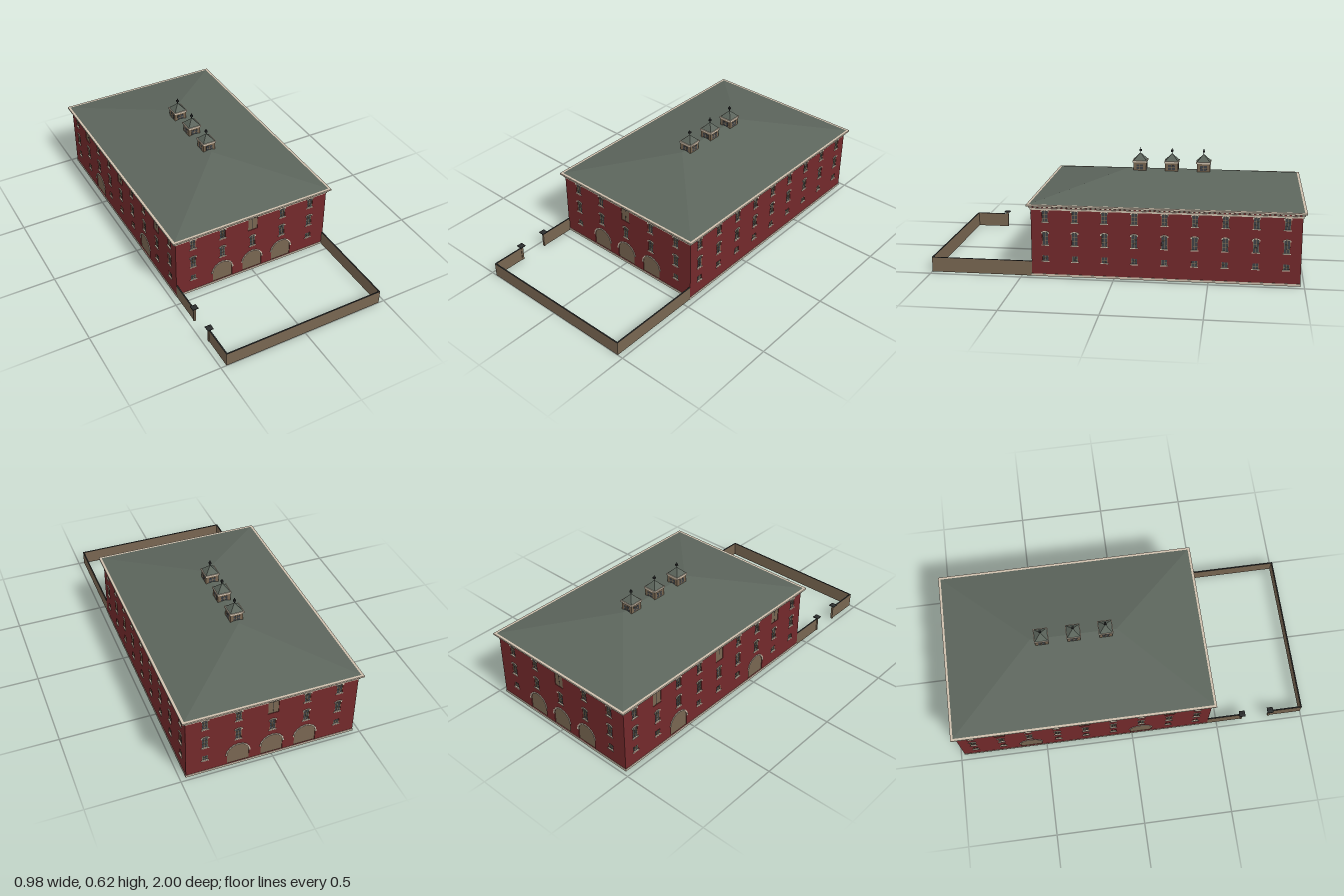
import * as THREE from 'three';
import { mergeGeometries } from 'three/addons/utils/BufferGeometryUtils.js';

const mat = (name, color, extra = {}) => {
  const m = new THREE.MeshStandardMaterial({ color, ...extra });
  m.name = name;
  return m;
};

export function createModel() {
  const brick = mat('brick red', 0x73292b);
  const slate = mat('roof slate', 0x5c655c, { side: THREE.DoubleSide });
  const tan = mat('tan wood', 0x786651);
  const trim = mat('pale stone trim', 0xcdbfac);
  const glass = mat('window glass', 0x3e4247);
  const bars = mat('glazing bars', 0x8a775a);
  const iron = mat('dark iron', 0x2b2d2d);

  const T = 0.008, CZ = -0.267, HX = 0.467, HZ = 0.712;
  const model = new THREE.Group();
  model.name = 'brickWarehouse';

  const add = (parent, name, geo, material, x = 0, y = 0, z = 0) => {
    const m = new THREE.Mesh(geo, material);
    m.name = name;
    m.position.set(x, y, z);
    parent.add(m);
    return m;
  };
  const box = (parent, name, material, w, h, d, x, y, z) =>
    add(parent, name, new THREE.BoxGeometry(w, h, d), material, x, y, z);
  const group = (parent, name, x = 0, y = 0, z = 0) => {
    const g = new THREE.Group();
    g.name = name;
    g.position.set(x, y, z);
    parent.add(g);
    return g;
  };
  const extrude = (shape, depth) =>
    new THREE.ExtrudeGeometry(shape, { depth, bevelEnabled: false, curveSegments: 8 });

  // Outline of a window with a slightly bowed head
  const opening = (P, x, w, y0, y1, rise) => {
    const s = new P();
    s.moveTo(x - w, y0);
    s.lineTo(x + w, y0);
    s.lineTo(x + w, y1);
    if (rise) s.quadraticCurveTo(x, y1 + 2 * rise, x - w, y1);
    else s.lineTo(x - w, y1);
    s.closePath();
    return s;
  };
  // Outline of a round-headed gateway
  const R = 0.06, SPRING = 0.075;
  const archway = (P, x) => {
    const s = new P();
    s.moveTo(x - R, 0.014);
    s.lineTo(x + R, 0.014);
    s.lineTo(x + R, SPRING);
    s.absarc(x, SPRING, R, 0, Math.PI, false);
    s.closePath();
    return s;
  };

  // Window types by floor: half width, bottom, top, head rise, pane rows
  const kinds = [
    { w: 0.016, y0: 0.086, y1: 0.117, rise: 0, rows: 2 },
    { w: 0.016, y0: 0.176, y1: 0.243, rise: 0.004, rows: 3 },
    { w: 0.016, y0: 0.303, y1: 0.361, rise: 0.003, rows: 3 },
  ].map(k => {
    const hood = new THREE.Shape();
    const o = k.w + 0.005, i = k.w - 0.001, drop = k.y1 - 0.005;
    hood.moveTo(i, drop);
    hood.lineTo(o, drop);
    hood.lineTo(o, k.y1 + 0.003);
    hood.quadraticCurveTo(0, k.y1 + 2 * k.rise + 0.009, -o, k.y1 + 0.003);
    hood.lineTo(-o, drop);
    hood.lineTo(-i, drop);
    hood.lineTo(-i, k.y1 - 0.001);
    hood.quadraticCurveTo(0, k.y1 + 2 * k.rise - 0.001, i, k.y1 - 0.001);
    hood.closePath();
    const strips = [[0.0025, k.y1 + k.rise - k.y0, 0, (k.y0 + k.y1 + k.rise) / 2]];
    for (const s of [-1, 1]) strips.push([0.002, k.y1 - k.y0, s * (k.w - 0.001), (k.y0 + k.y1) / 2]);
    for (let r = 1; r < k.rows; r++)
      strips.push([2 * k.w, 0.0015, 0, k.y0 + (k.y1 - k.y0) * r / k.rows]);
    return {
      ...k,
      pane: extrude(opening(THREE.Shape, 0, k.w + 0.003, k.y0 - 0.002, k.y1 + 0.002, k.rise), 0.006),
      hood: extrude(hood, 0.003),
      bars: mergeGeometries(strips.map(([w, h, x, y]) =>
        new THREE.BoxGeometry(w, h, 0.002).translate(x, y, -0.003))),
    };
  });

  const addWindow = (parent, k, x) => {
    const g = group(parent, 'window', x);
    add(g, 'pane', k.pane, glass, 0, 0, -0.01);
    add(g, 'glazingBars', k.bars, bars);
    box(g, 'sill', trim, 2 * k.w + 0.01, 0.005, 0.007, 0, k.y0 - 0.002, 0);
    if (k.rise) add(g, 'hood', k.hood, trim);
  };
  // Ring of arch stones, alternately long and short
  const stones = [];
  for (let i = 0, n = 17; i < n; i++) {
    const s = new THREE.Shape(), a = Math.PI * i / n, b = Math.PI * (i + 1) / n;
    s.absarc(0, SPRING, R + (i % 2 ? 0.0055 : 0.0075), a, b, false);
    s.absarc(0, SPRING, R - 0.001, b, a, true);
    stones.push(new THREE.ExtrudeGeometry(s, { depth: 0.003, bevelEnabled: false, curveSegments: 2 }));
  }
  const archTrimGeo = mergeGeometries(stones);
  const gateGeo = extrude(archway(THREE.Shape, 0), 0.006);

  const addArch = (parent, x) => {
    const g = group(parent, 'archedGate', x);
    add(g, 'gateLeaf', gateGeo, tan, 0, 0, -0.01);
    add(g, 'archTrim', archTrimGeo, trim);
  };
  const addLoftDoor = (parent, x) => {
    const g = group(parent, 'loftDoor', x);
    box(g, 'doorLeaf', tan, 0.058, 0.08, 0.006, 0, 0.329, -0.006);
    box(g, 'doorJoint', iron, 0.002, 0.08, 0.001, 0, 0.329, -0.0028);
  };

  // One facade: outer face on local z = 0, columns along local x
  const facade = (name, half, cols, ground, lofts) => {
    const g = group(model, name);
    const s = opening(THREE.Shape, 0, half, 0.008, 0.388, 0);
    cols.forEach((x, i) => {
      if (ground[i] === 'A') {
        s.holes.push(archway(THREE.Path, x));
        addArch(g, x);
      }
      kinds.forEach((k, floor) => {
        if (floor === 0 && ground[i] !== 'W') return;
        if (floor === 2 && lofts.includes(i)) return;
        s.holes.push(opening(THREE.Path, x, k.w, k.y0, k.y1, k.rise));
        addWindow(g, k, x);
      });
      if (lofts.includes(i)) {
        s.holes.push(opening(THREE.Path, x, 0.029, 0.289, 0.369, 0));
        addLoftDoor(g, x);
      }
    });
    add(g, 'brickWall', extrude(s, T), brick, 0, 0, -T);
    return g;
  };

  const endCols = [-0.364, -0.186, 0, 0.186, 0.364];
  const sideCols = Array.from({ length: 9 }, (_, i) => (i - 4) * 0.159);
  facade('frontFacade', HX, endCols, 'WAAAW', [2]).position.z = CZ + HZ;
  const back = facade('backFacade', HX, endCols, 'WAAAW', [2]);
  back.position.z = CZ - HZ;
  back.rotation.y = Math.PI;
  const left = facade('leftFacade', HZ - T, sideCols, 'WWWWWWWWW', []);
  left.position.set(HX, 0, CZ);
  left.rotation.y = Math.PI / 2;
  const right = facade('rightFacade', HZ - T, sideCols, 'WWAWWWAWW', [1, 4, 7]);
  right.position.set(-HX, 0, CZ);
  right.rotation.y = -Math.PI / 2;

  // Rectangular bands around the building
  const ring = (name, out, inn, y, h) => {
    const rect = (P, d) => opening(P, 0, HX + d, -HZ - d, HZ + d, 0);
    const s = rect(THREE.Shape, out);
    s.holes.push(rect(THREE.Path, inn));
    add(model, name, extrude(s, h).rotateX(-Math.PI / 2), trim, 0, y, CZ);
  };
  ring('plinth', 0.002, -0.013, 0, 0.013);
  ring('frieze', 0.004, -0.002, 0.368, 0.009);
  ring('soffitBand', 0.012, -0.004, 0.387, 0.004);
  ring('eavesFascia', 0.021, -0.01, 0.39, 0.009);

  // Cornice blocks
  const blocks = [];
  const row = (half, place) => {
    const n = Math.round(2 * half / 0.026);
    for (let i = 0; i <= n; i++) blocks.push(place(-half + 2 * half * i / n));
  };
  for (const s of [-1, 1]) {
    row(HX, t => new THREE.BoxGeometry(0.018, 0.008, 0.014).translate(t, 0.384, CZ + s * (HZ + 0.005)));
    row(HZ, t => new THREE.BoxGeometry(0.014, 0.008, 0.018).translate(s * (HX + 0.005), 0.384, CZ + t));
  }
  add(model, 'corniceBlocks', mergeGeometries(blocks), trim);

  // Hipped roof and flat ceiling
  const ex = HX + 0.012, ez = HZ + 0.012, rz = 0.242;
  const A = [-ex, 0.398, ez], B = [ex, 0.398, ez], C = [ex, 0.398, -ez], D = [-ex, 0.398, -ez];
  const F = [0, 0.508, rz], G = [0, 0.508, -rz];
  const roof = new THREE.BufferGeometry();
  roof.setAttribute('position', new THREE.Float32BufferAttribute(
    [A, B, F, B, C, G, B, G, F, C, D, G, D, A, F, D, F, G].flat(), 3));
  roof.computeVertexNormals();
  add(model, 'hippedRoof', roof, slate, 0, 0, CZ);
  box(model, 'ceiling', slate, 2 * (HX - T), 0.006, 2 * (HZ - T), 0, 0.381, CZ);

  // Flat-sided square pyramid
  const pyramid = (r, h) => {
    const g = new THREE.ConeGeometry(r * Math.SQRT2, h, 4, 1).rotateY(Math.PI / 4).toNonIndexed();
    g.computeVertexNormals();
    return g;
  };

  // Three ridge cupolas
  for (const dz of [-0.178, 0, 0.178]) {
    const c = group(model, 'cupola', 0, 0, CZ + dz);
    box(c, 'cupolaBody', tan, 0.072, 0.05, 0.072, 0, 0.521, 0);
    box(c, 'cupolaCornice', trim, 0.081, 0.01, 0.081, 0, 0.55, 0);
    add(c, 'cupolaRoof', pyramid(0.0365, 0.04), slate, 0, 0.575, 0);
    box(c, 'finialRod', iron, 0.003, 0.035, 0.003, 0, 0.607, 0);
    box(c, 'finialBlock', iron, 0.012, 0.01, 0.012, 0, 0.609, 0);
    for (let i = 0; i < 4; i++) {
      const side = group(c, 'cupolaWindow');
      side.rotation.y = i * Math.PI / 2;
      box(side, 'cupolaPane', glass, 0.038, 0.028, 0.002, 0, 0.52, 0.036);
      box(side, 'cupolaBarUpright', bars, 0.003, 0.028, 0.002, 0, 0.52, 0.0365);
      box(side, 'cupolaBarLevel', bars, 0.038, 0.0025, 0.002, 0, 0.52, 0.0365);
    }
  }

  // Yard wall with a gateway on one side
  const yard = group(model, 'yardWall');
  const X = 0.464, Z0 = CZ + HZ, Z1 = 0.996;
  const run = (w, d, x, z) => {
    box(yard, 'yardWallRun', tan, w, 0.08, d, x, 0.04, z);
    box(yard, 'yardWallCap', iron, w + 0.001, 0.002, d + 0.001, x, 0.081, z);
  };
  run(2 * X + 0.006, 0.006, 0, Z1);
  run(0.006, Z1 - Z0, X, (Z0 + Z1) / 2);
  run(0.006, 0.645 - Z0, -X, (Z0 + 0.645) / 2);
  run(0.006, Z1 - 0.81, -X, (Z1 + 0.81) / 2);
  for (const z of [0.645, 0.81]) {
    const p = group(yard, 'gatePost', -X, 0, z);
    box(p, 'postShaft', tan, 0.012, 0.092, 0.012, 0, 0.046, 0);
    box(p, 'postCap', iron, 0.034, 0.004, 0.034, 0, 0.094, 0);
    add(p, 'postCapTop', pyramid(0.016, 0.007), iron, 0, 0.0995, 0);
  }
  return model;
}
